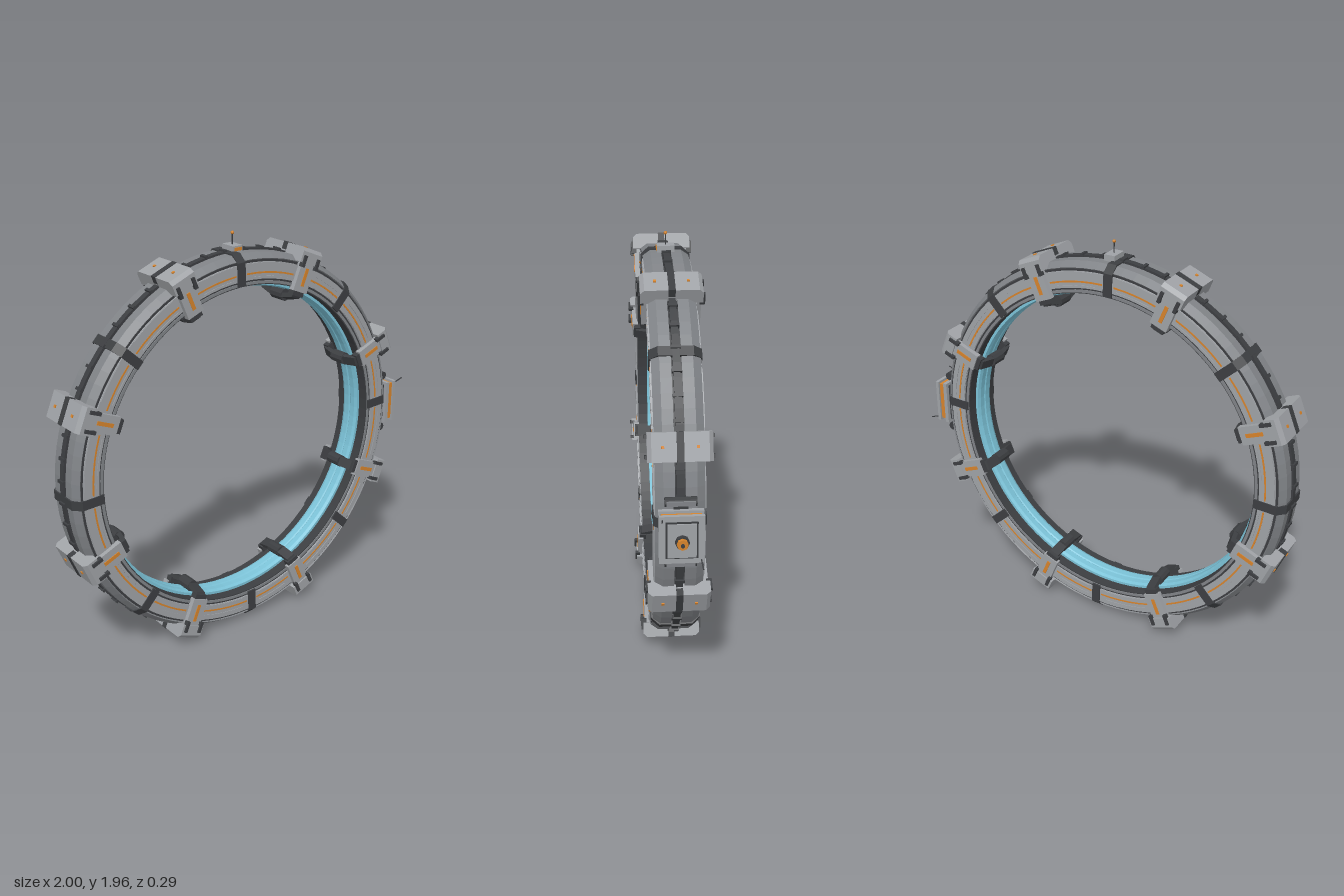
import * as THREE from 'three';

const DEG = Math.PI / 180;
const mat = (color) => new THREE.MeshStandardMaterial({ color, flatShading: true, side: THREE.DoubleSide });

export function createModel() {
  const light = mat(0x9fa2a6), mid = mat(0x808387), dark = mat(0x3c3e41);
  const orange = mat(0xd5832c), cyan = mat(0x7cc3d8);

  const model = new THREE.Group();
  const ring = new THREE.Group();
  ring.name = 'ringStation';
  ring.position.set(-0.055, 0.947, 0);
  model.add(ring);

  const add = (parent, name, geometry, material, x = 0, y = 0, z = 0) => {
    const mesh = new THREE.Mesh(geometry, material);
    mesh.name = name;
    mesh.position.set(x, y, z);
    parent.add(mesh);
    return mesh;
  };

  // Box given by its radial, tangential and axial ranges
  const block = (parent, name, material, [x0, x1], [y0, y1], [z0, z1]) =>
    add(parent, name, new THREE.BoxGeometry(x1 - x0, y1 - y0, z1 - z0), material,
      (x0 + x1) / 2, (y0 + y1) / 2, (z0 + z1) / 2);

  // Closed (radius, z) profile swept round the ring axis, angles in degrees
  const sweep = (name, profile, material, start = 0, length = 360) => {
    const points = [...profile, profile[0]].map(([r, z]) => new THREE.Vector2(r, z));
    const segments = Math.max(3, Math.round(length / 4));
    const geometry = new THREE.LatheGeometry(points, segments, (start + 90) * DEG, length * DEG);
    geometry.rotateX(Math.PI / 2);
    return add(ring, name, geometry, material);
  };
  const rect = (r0, r1, z0, z1) => [[r0, z0], [r1, z0], [r1, z1], [r0, z1]];

  // Straight piece of a (radius, z) profile, centred along the tangent
  const bar = (parent, name, profile, width, material) => {
    const shape = new THREE.Shape(profile.map(([r, z]) => new THREE.Vector2(r, z)));
    const geometry = new THREE.ExtrudeGeometry(shape, { depth: width, bevelEnabled: false });
    geometry.translate(0, 0, -width / 2).rotateX(Math.PI / 2);
    return add(parent, name, geometry, material);
  };

  const rod = (parent, name, a, b, radius, material) => {
    const from = new THREE.Vector3(...a), to = new THREE.Vector3(...b);
    const dir = to.clone().sub(from);
    const mesh = add(parent, name, new THREE.CylinderGeometry(radius, radius, dir.length(), 8), material);
    mesh.position.copy(from).add(to).multiplyScalar(0.5);
    mesh.quaternion.setFromUnitVectors(new THREE.Vector3(0, 1, 0), dir.normalize());
    return mesh;
  };

  const spoke = (name, angle) => {
    const group = new THREE.Group();
    group.name = name;
    group.rotation.z = angle * DEG;
    ring.add(group);
    return group;
  };

  // Dark core, glowing inner track and outer spine
  sweep('core', [[0.785, -0.1], [0.9, -0.1], [0.918, -0.07], [0.918, 0.07], [0.9, 0.1], [0.785, 0.1]], dark);
  sweep('innerTrack', [[0.79, -0.05], [0.79, 0.05], [0.772, 0.05], [0.765, 0.035],
    [0.765, 0.006], [0.77, 0], [0.765, -0.006], [0.765, -0.035], [0.772, -0.05]], cyan);
  sweep('outerSpine', rect(0.91, 0.936, -0.015, 0.015), dark);

  // Hull plating, mirrored front to back
  for (const s of [1, -1]) {
    const flip = (profile) => s > 0 ? profile : profile.map(([r, z]) => [r, -z]).reverse();
    sweep('outerPlating', flip([[0.915, 0.022], [0.929, 0.022], [0.929, 0.07], [0.905, 0.104], [0.897, 0.095]]), mid);
    sweep('facePlating', flip(rect(0.812, 0.89, 0.09, 0.107)), light);
    sweep('innerRim', flip(rect(0.79, 0.803, 0.09, 0.104)), mid);
    for (let i = 0; i < 8; i++) {
      for (const [a, b] of [[4.2, 18.8], [26.2, 45.2]]) {
        sweep('guideStripe', flip(rect(0.838, 0.846, 0.1, 0.1085)), orange, i * 45 + a, b - a);
        sweep('trimPanel', flip(rect(0.864, 0.888, 0.1, 0.11)), light, i * 45 + a + 1, b - a - 3);
        sweep('trimPanel', flip(rect(0.814, 0.825, 0.1, 0.11)), light, i * 45 + a + 1, b - a - 3);
      }
    }
  }

  // Small clips along the spine
  for (let i = 0; i < 56; i++) {
    block(spoke('spineClip', (i + 0.5) * 360 / 56), 'clip', dark, [0.92, 0.944], [-0.007, 0.007], [-0.021, 0.021]);
  }

  // Dark collars joining the hull segments
  const collar = [[0.79, -0.112], [0.9, -0.112], [0.935, -0.075], [0.935, 0.075], [0.9, 0.112], [0.79, 0.112]];
  for (let i = 0; i < 8; i++) {
    bar(spoke('jointCollar', 2.2 + i * 45), 'collar', collar, 0.044, dark);
  }

  // Eight U-shaped clamps straddling the ring
  const cap = [[0.905, -0.135], [0.958, -0.135], [0.975, -0.118], [0.975, 0.118], [0.958, 0.135], [0.905, 0.135]];
  for (let i = 0; i < 8; i++) {
    const clamp = spoke('clamp', 22.5 + i * 45);
    bar(clamp, 'clampCap', cap, 0.122, light);
    block(clamp, 'capStripe', dark, [0.94, 0.978], [-0.062, 0.062], [-0.015, 0.015]);
    for (const s of [1, -1]) {
      const side = (z0, z1) => s > 0 ? [z0, z1] : [-z1, -z0];
      block(clamp, 'clampLeg', light, [0.772, 0.92], [-0.043, 0.043], side(0.1, 0.128));
      block(clamp, 'legStripe', orange, [0.8, 0.885], [-0.009, 0.009], side(0.12, 0.131));
      block(clamp, 'capLamp', orange, [0.97, 0.98], [-0.006, 0.006], side(0.066, 0.078));
      block(clamp, 'clampFoot', dark, [0.75, 0.785], [-0.033, 0.033], side(0.088, 0.122));
      for (const t of [1, -1]) {
        block(clamp, 'sideRail', dark, [0.885, 0.94], [t * 0.042 - 0.008, t * 0.042 + 0.008], side(0.12, 0.144));
      }
      // Slanted strut from the foot to the emitter
      const strut = [[0.76, 0.118], [0.74, 0.11], [0.722, 0.035], [0.745, 0.035]];
      bar(clamp, 'footStrut', strut.map(([r, z]) => [r, s * z]), 0.05, dark);
    }
    const emitter = add(clamp, 'emitter', new THREE.CylinderGeometry(0.03, 0.03, 0.08, 10), dark, 0.74);
    emitter.rotation.x = Math.PI / 2;
  }

  // Docking module on the left side
  const dock = spoke('dockingModule', 0);
  block(dock, 'dockBase', dark, [0.91, 0.945], [-0.095, 0.095], [-0.075, 0.075]);
  block(dock, 'dockBody', light, [0.935, 0.955], [-0.11, 0.11], [-0.094, 0.094]);
  block(dock, 'dockBand', orange, [0.955, 0.985], [-0.098, 0.098], [-0.084, 0.084]);
  block(dock, 'dockPlate', light, [0.985, 1.002], [-0.11, 0.11], [-0.094, 0.094]);
  block(dock, 'dockSeam', dark, [1.0, 1.006], [-0.085, 0.085], [-0.067, 0.067]);
  block(dock, 'dockHatch', light, [1.0, 1.012], [-0.078, 0.078], [-0.06, 0.06]);
  rod(dock, 'portCollar', [1.005, 0, 0], [1.03, 0, 0], 0.03, dark);
  rod(dock, 'port', [1.02, 0, 0], [1.045, 0, 0], 0.024, orange);
  rod(dock, 'portTip', [1.04, 0, 0], [1.055, 0, 0], 0.008, dark);
  for (const s of [1, -1]) {
    rod(dock, 'dockRoller', [0.935, s * 0.143, -0.067], [0.935, s * 0.143, 0.067], 0.021, dark);
    block(dock, 'rollerPlate', mid, [0.945, 0.96], [s * 0.143 - 0.01, s * 0.143 + 0.01], [-0.06, 0.06]);
    block(dock, 'rollerBracket', dark, [0.915, 0.94], [s * 0.12 - 0.025, s * 0.12 + 0.025], [-0.03, 0.03]);
    rod(dock, 'dockAntenna', [0.99, s * 0.09, s * 0.08], [1.053, s * 0.112, s * 0.085], 0.003, dark);
  }

  // Beacon with mast on top
  const beacon = spoke('beacon', 90);
  block(beacon, 'beaconBase', light, [0.925, 0.958], [-0.027, 0.027], [-0.04, 0.04]);
  block(beacon, 'beaconPanel', orange, [0.936, 0.951], [-0.02, 0.02], [0.035, 0.043]);
  rod(beacon, 'mast', [0.955, 0, 0], [1.012, 0, 0], 0.003, dark);
  add(beacon, 'mastLamp', new THREE.SphereGeometry(0.008, 10, 8), orange, 1.011);

  return model;
}
